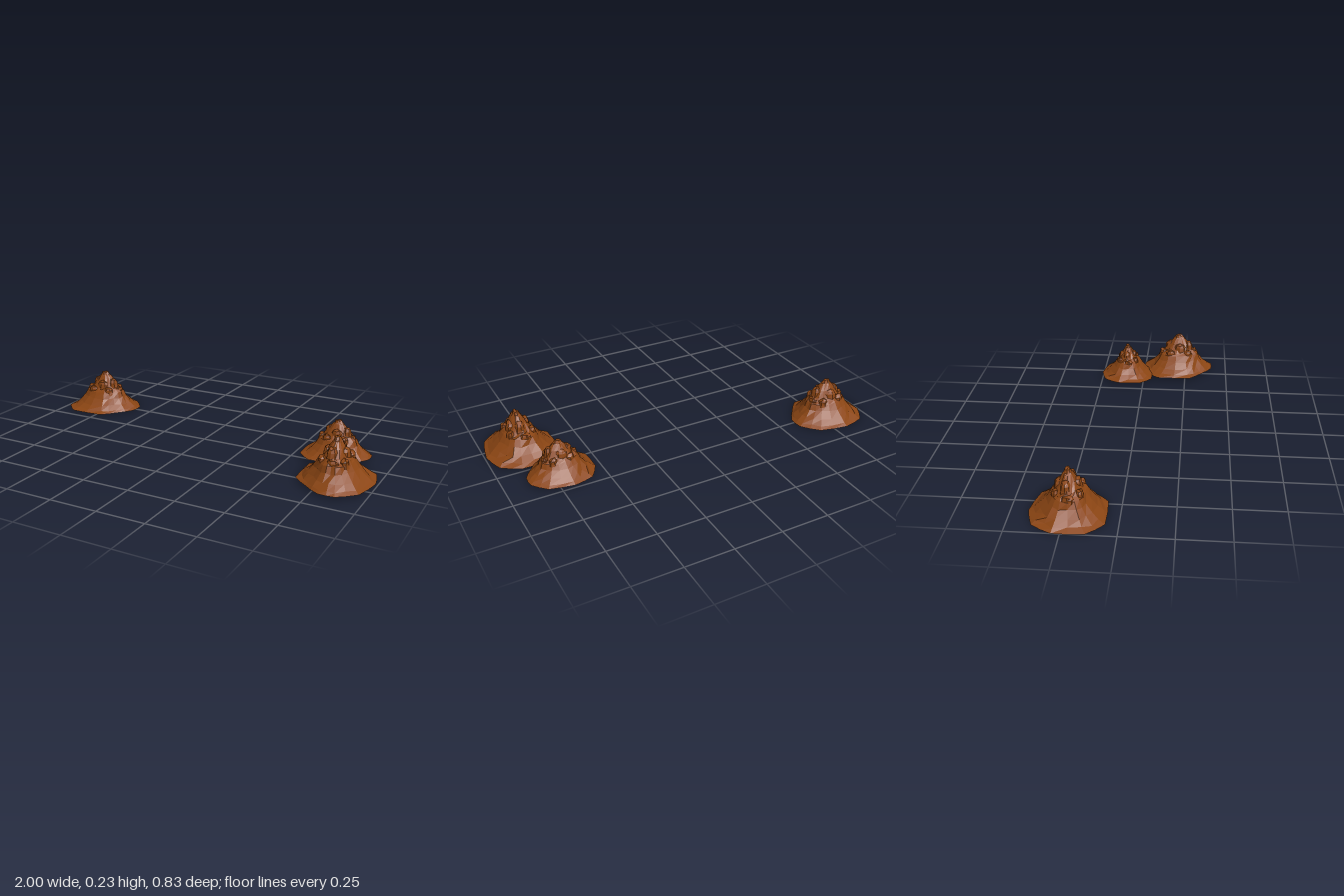
import * as THREE from 'three';

const rockMaterial = new THREE.MeshStandardMaterial({
  color: 0x8b4513, flatShading: true, side: THREE.DoubleSide,
});

// Repeatable noise in -1..1
function noise(a, b, c = 0) {
  const s = Math.sin(a * 127.1 + b * 311.7 + c * 74.7) * 43758.5453;
  return (s - Math.floor(s)) * 2 - 1;
}

// Irregular footprint of a mound, as x, z
const footprint = [
  [-0.144, -0.15], [-0.027, -0.182], [0.123, -0.15], [0.198, -0.064], [0.198, 0.016],
  [0.138, 0.098], [0.07, 0.172], [-0.118, 0.176], [-0.198, 0.096], [-0.203, -0.053],
];

// Levels of the slope: height, half width in x, half width in z
const levels = [
  [0, 0.2, 0.18], [0.012, 0.176, 0.156], [0.035, 0.15, 0.13], [0.07, 0.124, 0.1],
  [0.1, 0.11, 0.082], [0.112, 0.095, 0.07], [0.125, 0.078, 0.055],
  [0.16, 0.055, 0.038], [0.19, 0.032, 0.022], [0.205, 0.012, 0.009],
];

// Hollow skirt running up into the core of the peak
function slopeGeometry() {
  const ring = [];
  footprint.forEach((p, i) => {
    const q = footprint[(i + 1) % footprint.length];
    ring.push(p, [(p[0] + q[0]) * 0.51, (p[1] + q[1]) * 0.51]);
  });
  const n = ring.length, pos = [], index = [];
  levels.forEach(([y, a, b], j) => {
    const blend = Math.min(1, j / 5); // footprint fades into an ellipse
    ring.forEach(([x, z], i) => {
      const t = Math.atan2(z / 0.18, x / 0.2);
      const wobble = j ? 1 + 0.05 * noise(i, j) : 1;
      const px = THREE.MathUtils.lerp(x / 0.2, Math.cos(t), blend) * a * wobble;
      const pz = THREE.MathUtils.lerp(z / 0.18, Math.sin(t), blend) * b * wobble;
      pos.push(px, y + (j ? 0.004 * noise(i, j, 2) : 0), pz);
    });
  });
  for (let j = 0; j < levels.length - 1; j++) {
    for (let i = 0; i < n; i++) {
      const k = (i + 1) % n, a = j * n + i, b = j * n + k;
      index.push(a, a + n, b, b, a + n, b + n);
    }
  }
  const top = pos.length / 3, last = (levels.length - 1) * n;
  pos.push(0, 0.207, 0);
  for (let i = 0; i < n; i++) index.push(last + i, top, last + (i + 1) % n);
  const g = new THREE.BufferGeometry();
  g.setAttribute('position', new THREE.Float32BufferAttribute(pos, 3));
  g.setIndex(index);
  g.computeVertexNormals();
  return g;
}

// Chipped, tapering boulder standing on y0
function boulderGeometry(rx, rz, y0, y1, taper, seed) {
  const h = y1 - y0;
  const g = new THREE.CylinderGeometry(taper, 1, h, 8, 3);
  const p = g.attributes.position;
  for (let i = 0; i < p.count; i++) {
    const x = p.getX(i), y = p.getY(i), z = p.getZ(i);
    const f = Math.round(Math.atan2(z, x) * 4 / Math.PI + 8) % 8;
    const level = Math.round((y / h + 0.5) * 3);
    const k = 1 + 0.1 * noise(f, level, seed) + (level === 2 ? 0.1 : 0);
    const centre = Math.hypot(x, z) < 1e-6;
    const drop = level === 3 && !centre ? 0.006 * (noise(f, seed) - 1) : 0;
    p.setXYZ(i, x * rx * k, y + y0 + h / 2 + drop, z * rz * k);
  }
  g.computeVertexNormals();
  return g;
}

// name, x, z, radius x, radius z, bottom, top, taper
const boulders = [
  ['peak', 0, 0, 0.05, 0.034, 0.13, 0.213, 0.38],
  ['rightShoulder', 0.055, 0.004, 0.033, 0.03, 0.105, 0.174, 0.55],
  ['leftShoulder', -0.05, -0.004, 0.036, 0.03, 0.11, 0.176, 0.5],
  ['frontShoulder', 0.008, 0.038, 0.04, 0.028, 0.1, 0.166, 0.6],
  ['backShoulder', -0.006, -0.038, 0.04, 0.028, 0.1, 0.166, 0.6],
  ['rightLedge', 0.086, -0.008, 0.022, 0.034, 0.085, 0.125, 0.7],
  ['leftLedge', -0.09, 0.008, 0.026, 0.032, 0.085, 0.122, 0.7],
  ['frontLeftLedge', -0.045, 0.055, 0.032, 0.022, 0.085, 0.13, 0.65],
  ['frontRightLedge', 0.052, 0.052, 0.03, 0.022, 0.085, 0.132, 0.65],
  ['backLeftLedge', -0.048, -0.053, 0.03, 0.022, 0.085, 0.132, 0.65],
  ['backRightLedge', 0.05, -0.053, 0.03, 0.022, 0.085, 0.128, 0.65],
];

function createMound(name, x, y, z, scale, turn) {
  const mound = new THREE.Group();
  mound.name = name;
  const slope = new THREE.Mesh(slopeGeometry(), rockMaterial);
  slope.name = 'slope';
  mound.add(slope);
  boulders.forEach(([part, bx, bz, rx, rz, y0, y1, taper], i) => {
    const rock = new THREE.Mesh(boulderGeometry(rx, rz, y0, y1, taper, i + 1), rockMaterial);
    rock.name = part;
    rock.position.set(bx, 0, bz);
    mound.add(rock);
  });
  mound.position.set(x, y, z);
  mound.scale.setScalar(scale);
  mound.rotation.y = turn;
  return mound;
}

export function createModel() {
  const group = new THREE.Group();
  group.name = 'rockMounds';
  group.add(
    createMound('rightMound', -0.797, 0, -0.237, 1, 0),
    createMound('leftBackMound', 0.71, 0.017, -0.1, 0.85, 0),
    createMound('leftFrontMound', 0.812, 0.0155, 0.207, 1.02, -Math.PI / 2),
  );
  return group;
}
